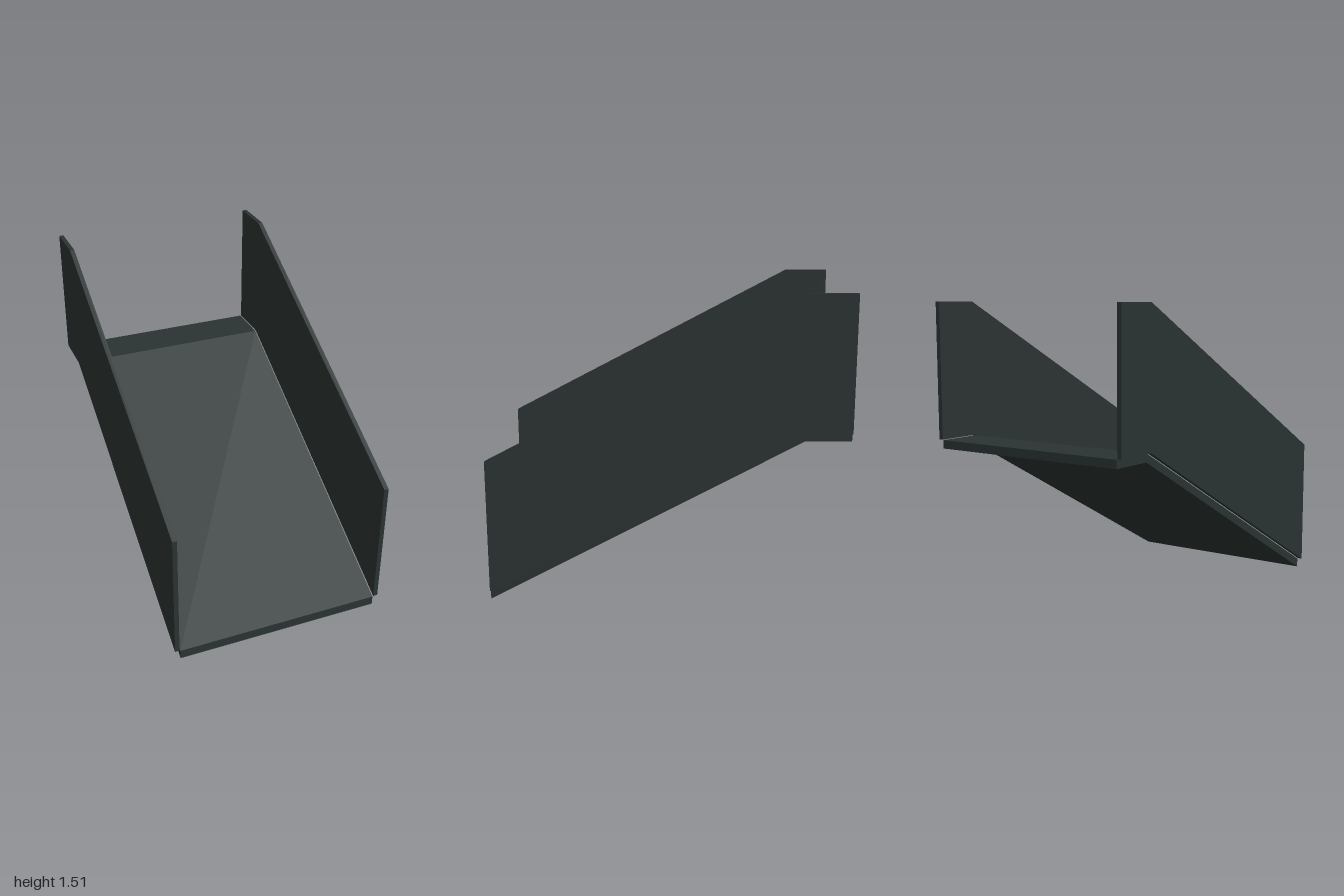
import * as THREE from 'three';

const HALF_LENGTH = 0.872; // along the ramp
const KINK = 0.65;         // where the slope meets the level landing
const FLOOR_WIDTH = 1.04;
const WALL = 0.023;        // side panel thickness
const GAP = 0.004;         // slit between floor and side panels

// Side profile: lower edge and upper edge given as [front, landing] heights,
// extruded across x and centred on the given x.
function rampSlab(name, low, high, width, x, material) {
  const shape = new THREE.Shape([
    [-HALF_LENGTH, low[0]], [KINK, low[1]], [HALF_LENGTH, low[1]],
    [HALF_LENGTH, high[1]], [KINK, high[1]], [-HALF_LENGTH, high[0]],
  ].map(([s, y]) => new THREE.Vector2(s, y)));
  const geometry = new THREE.ExtrudeGeometry(shape, { depth: width, bevelEnabled: false });
  geometry.translate(0, 0, -width / 2);
  geometry.rotateY(Math.PI / 2); // profile runs from front (+z) to back (-z)
  const mesh = new THREE.Mesh(geometry, material);
  mesh.name = name;
  mesh.position.x = x;
  return mesh;
}

export function createModel() {
  const darkMetal = new THREE.MeshStandardMaterial({ color: 0x2a3332 });
  darkMetal.name = 'dark metal';

  const ramp = new THREE.Group();
  ramp.name = 'ramp';

  // Sloped floor with level landing
  ramp.add(rampSlab('floor', [0, 0.807], [0.047, 0.848], FLOOR_WIDTH, 0, darkMetal));

  // Side panels
  const wallX = FLOOR_WIDTH / 2 + GAP + WALL / 2;
  for (const [name, side] of [['leftWall', 1], ['rightWall', -1]]) {
    ramp.add(rampSlab(name, [0.05, 0.85], [0.71, 1.51], WALL, side * wallX, darkMetal));
  }

  // The whole ramp stands turned about the vertical
  ramp.rotation.y = THREE.MathUtils.degToRad(-18.5);

  const model = new THREE.Group();
  model.name = 'walledRamp';
  model.add(ramp);
  return model;
}
